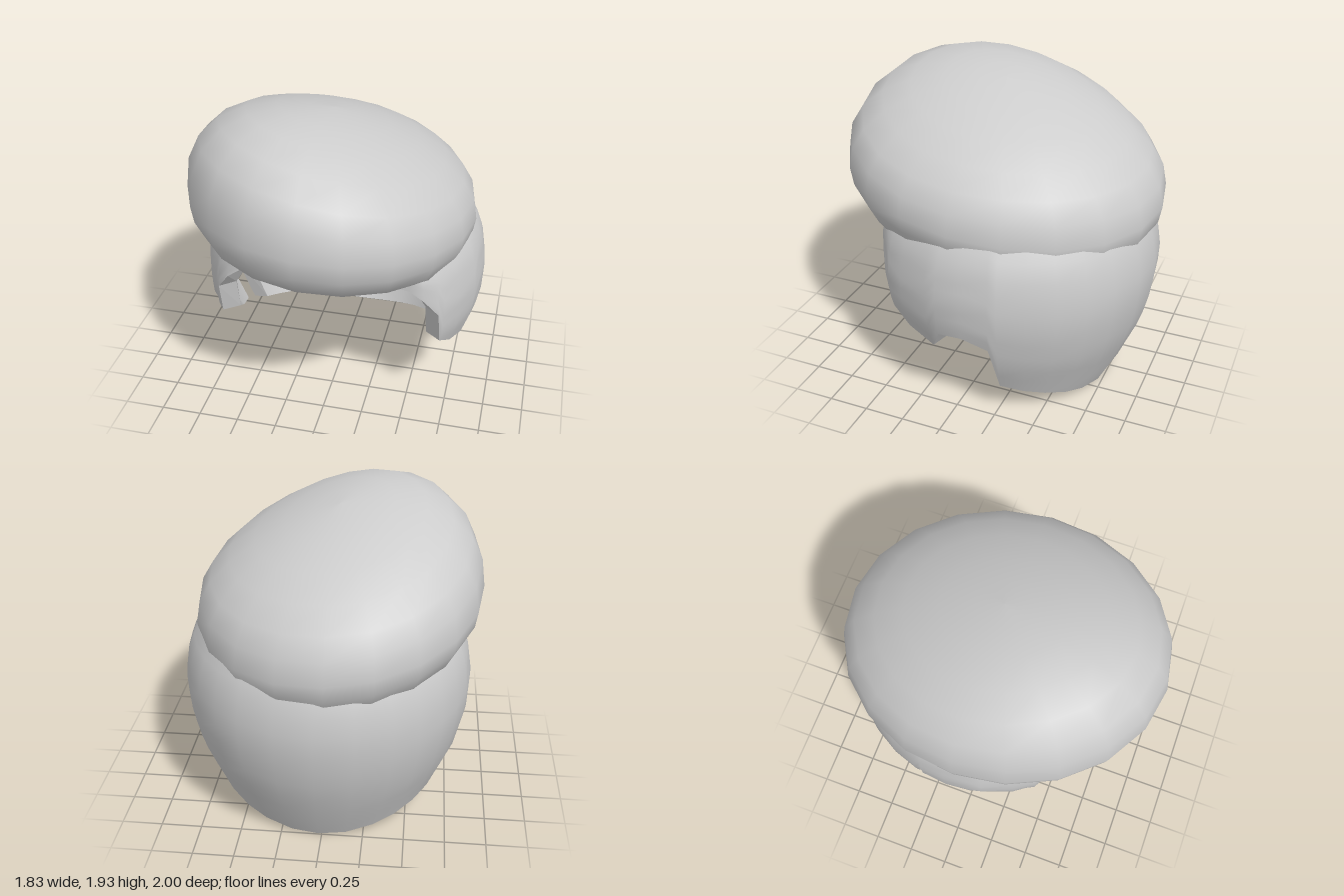
import * as THREE from 'three';

// Skin rows of points (each row a closed loop) into a surface
function skin(rows, { flip = false, flat = false } = {}) {
  const n = rows[0].length, index = [];
  for (let i = 0; i < rows.length - 1; i++) {
    for (let j = 0; j < n; j++) {
      const k = (j + 1) % n;
      const a = i * n + j, b = i * n + k, c = a + n, d = b + n;
      if (flip) index.push(a, d, b, a, c, d);
      else index.push(a, b, d, a, d, c);
    }
  }
  let g = new THREE.BufferGeometry();
  g.setAttribute('position', new THREE.Float32BufferAttribute(rows.flat(2), 3));
  g.setIndex(index);
  if (flat) g = g.toNonIndexed();
  g.computeVertexNormals();
  return g;
}

// Piecewise linear lookup
function lookup(table, v) {
  for (let i = 1; i < table.length; i++) {
    const [a, fa] = table[i - 1], [b, fb] = table[i];
    if (v <= b) return fa + (fb - fa) * Math.max(0, (v - a) / (b - a));
  }
  return table[table.length - 1][1];
}

const rad = THREE.MathUtils.degToRad;

// Width of the lower hair at each height
const PROFILE = [[0, 0.715], [0.1, 0.775], [0.2, 0.82], [0.42, 0.925], [0.67, 0.99],
  [0.85, 1], [1.05, 0.965], [1.15, 0.915], [1.22, 0.86]];

// Hairline: angle from the front, height of the lower edge
const HAIRLINE = [[0, 1.035], [15, 1.03], [28, 1.02], [36, 1.0], [43, 0.94], [50, 0.82],
  [53, 0.6], [62, 0.52], [75, 0.46], [80, 0.59], [90, 0.61], [100.5, 0.55], [104, 0.22],
  [115, 0.17], [126, 0.13], [138, 0.085], [150, 0.045], [165, 0.012], [180, 0]];

const WALL = 0.13, SHELL_TOP = 1.22;

// Point on the lower hair; the forehead side is cut flat at maxZ
function shellPoint(deg, s, y, maxZ) {
  const a = rad(deg);
  return [0.02 + 0.89 * s * Math.sin(a), y, Math.min(maxZ, -0.1 + 0.9 * s * Math.cos(a))];
}

function createShell(material) {
  const mirrored = HAIRLINE.slice(1, -1).reverse().map(([d, y]) => [360 - d, y]);
  const columns = [...HAIRLINE, ...mirrored];
  const steps = 10, outer = [], inner = [];
  // Sideburn tips lean inwards, the right one more
  const width = (d, y) => {
    const lean = Math.cos(rad(d)) > 0 ? (d > 180 ? 0.4 : 0.1) : 0;
    return lookup(PROFILE, y) - lean * Math.max(0, 0.62 - y);
  };
  for (let i = 0; i <= steps; i++) {
    const t = i / steps;
    outer.push(columns.map(([d, yb]) => {
      const y = yb + (SHELL_TOP - yb) * t;
      return shellPoint(d, width(d, y), y, 0.53);
    }));
    inner.push(columns.map(([d, yb]) => {
      const start = yb + 0.06 * Math.max(0, -Math.cos(rad(d))) ** 0.5;
      const y = start + (SHELL_TOP - start) * t;
      return shellPoint(d, width(d, y) - WALL, y, 0.42);
    }));
  }
  const rim = [inner[0], outer[0]];
  // Domed ceiling inside
  for (let i = 1; i <= 5; i++) {
    const a = rad(i * 18);
    inner.push(columns.map(([d]) =>
      shellPoint(d, 0.73 * Math.cos(a), SHELL_TOP + 0.3 * Math.sin(a), 0.55)));
  }
  const group = new THREE.Group();
  group.name = 'lowerHair';
  const add = (name, geometry) => {
    const mesh = new THREE.Mesh(geometry, material);
    mesh.name = name;
    group.add(mesh);
  };
  add('outerHair', skin(outer));
  add('innerLining', skin(inner, { flip: true }));
  add('hairlineEdge', skin(rim, { flat: true }));
  return group;
}

// Puffed top, leaning up towards the front and the right
function createTop(material) {
  const segments = 20, rows = [];
  const angles = Array.from({ length: segments }, (_, j) => (j / segments) * Math.PI * 2);
  for (const lat of [-22, -11, 0, 13, 26, 40, 54, 68, 80, 90]) {
    const r = Math.cos(rad(lat)), h = Math.sin(rad(lat));
    rows.push(angles.map((a) => {
      const x = -0.04 + 0.88 * r * Math.sin(a), z = r * Math.cos(a);
      const middle = 1.3 + 0.11 * z - 0.085 * x;
      const rise = lat > 0
        ? h ** 0.9 * (0.565 + 0.07 * z - 0.11 * x - 0.15 * x * z)
        : h * (0.5 + 0.04 * z + 0.08 * z * z);
      return [x, middle + rise, z];
    }));
  }
  // Underside, rounded at the front and sunk in the wall of the lower hair
  const opening = angles.map((a) => {
    const z = Math.min(0.47, -0.1 + 0.81 * Math.cos(a));
    return [0.02 + 0.785 * Math.sin(a), 1.09 - 0.1 * Math.abs(z), z];
  });
  const underside = opening.map((p, j) => {
    const q = rows[0][j];
    const sag = 0.04 * Math.max(0, Math.cos(angles[j]));
    return [(p[0] + q[0]) / 2, (p[1] + q[1]) / 2 - sag, (p[2] + q[2]) / 2];
  });
  const mesh = new THREE.Mesh(skin([opening, underside, ...rows]), material);
  mesh.name = 'topHair';
  return mesh;
}

export function createModel() {
  const hair = new THREE.MeshStandardMaterial({ color: 0xcccccc });
  hair.name = 'lightGreyHair';
  const model = new THREE.Group();
  model.name = 'hairpiece';
  model.add(createShell(hair), createTop(hair));
  return model;
}
